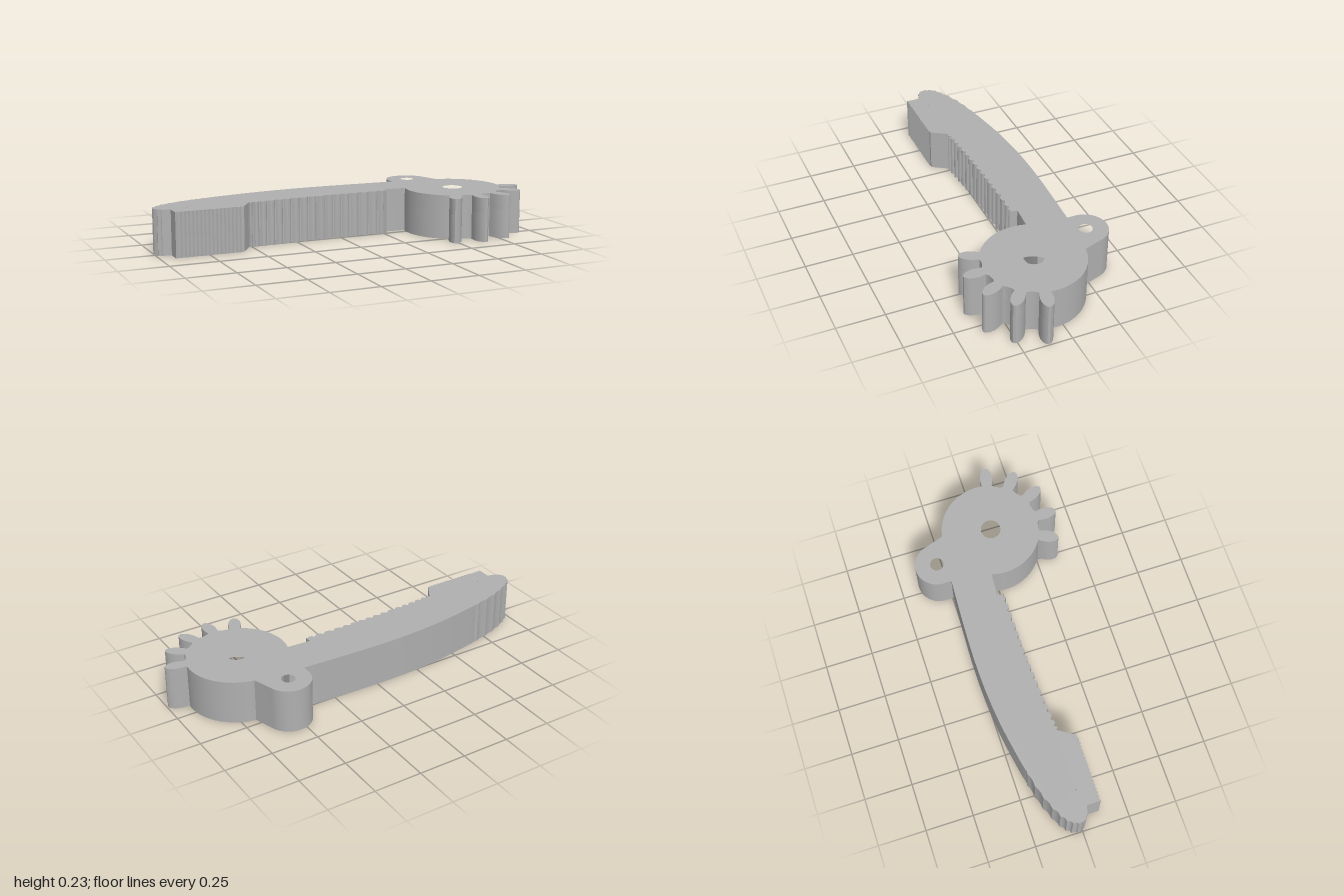
import * as THREE from 'three';
import { toCreasedNormals } from 'three/addons/utils/BufferGeometryUtils.js';

const HEIGHT = 0.23;
const BORE_DEPTH = 0.15;
const V = (x, z) => new THREE.Vector2(x, -z); // plan coordinates: x right, z toward the front

const grey = new THREE.MeshStandardMaterial({ color: 0xb0b0b0 });
grey.name = 'grey';

// Upright slab cut from a plan outline, with round holes [x, z, radius]
function slab(name, points, holes, y0, y1) {
  const shape = new THREE.Shape(points);
  for (const [x, z, r] of holes) {
    const hole = new THREE.Path();
    hole.absarc(x, -z, r, 0, Math.PI * 2, true);
    shape.holes.push(hole);
  }
  const geo = new THREE.ExtrudeGeometry(shape, { depth: y1 - y0, bevelEnabled: false, curveSegments: 24 });
  geo.rotateX(-Math.PI / 2);
  geo.translate(0, y0, 0);
  const mesh = new THREE.Mesh(toCreasedNormals(geo, 0.45), grey);
  mesh.name = name;
  return mesh;
}

// Points on a smooth curve through [x, z] pairs
function curve(pairs, n) {
  return new THREE.SplineCurve(pairs.map(([x, z]) => new THREE.Vector2(x, z))).getPoints(n);
}

// Round hub with five gear teeth
function hubOutline() {
  const cx = 0.64, cz = 0.04, R = 0.26, pitch = Math.PI / 7;
  const polar = (r, a) => V(cx + r * Math.cos(a), cz + r * Math.sin(a));
  const flank = [[0.258, 0.027], [0.28, 0.031], [0.3, 0.033], [0.32, 0.031], [0.34, 0.025], [0.354, 0.016], [0.362, 0.006]];
  const profile = [...flank.map(([r, w]) => [r, -w]), ...flank.slice().reverse()];
  const first = Math.PI / 2 - 3 * pitch;
  const pts = [];
  for (let i = 0; i < 5; i++) {
    const a = first + i * pitch, c = Math.cos(a), s = Math.sin(a);
    for (const [r, w] of profile) pts.push(V(cx + r * c - w * s, cz + r * s + w * c));
    if (i < 4) for (const t of [0.37, 0.5, 0.63]) pts.push(polar(0.252, a + t * pitch));
  }
  const start = first + 4 * pitch + 0.16, end = first + Math.PI * 2 - 0.16;
  for (let i = 0; i <= 56; i++) pts.push(polar(R, start + (end - start) * i / 56));
  return pts;
}

// Rounded ear beside the hub
function earOutline() {
  const pts = [V(0.42, -0.2), V(0.42, -0.29)];
  for (let i = 1; i <= 24; i++) {
    const a = Math.PI + (Math.PI * 0.93) * i / 24;
    pts.push(V(0.535 + 0.115 * Math.cos(a), -0.29 + 0.115 * Math.sin(a)));
  }
  pts.push(V(0.682, -0.212), V(0.66, -0.14), V(0.5, -0.14));
  return pts;
}

// Curved arm with a serrated nose, a gripping pad and a toothed inner edge
function armOutline() {
  const pts = [V(0.5, -0.05), V(0.5, -0.239)];
  for (const p of curve([[0.42, -0.245], [0.2, -0.256], [0, -0.262], [-0.2, -0.258], [-0.4, -0.24], [-0.6, -0.207], [-0.66, -0.194]], 40)) {
    pts.push(V(p.x, p.y));
  }
  // serrated nose
  const nose = curve([[-0.67, -0.19], [-0.8, -0.157], [-0.92, -0.107], [-0.98, -0.06], [-0.996, -0.01], [-0.97, 0.022], [-0.925, 0.036]], 36);
  nose.forEach((p, i) => {
    const k = i % 3 === 1 && i < 33 ? 0.005 : 0;
    pts.push(V(Math.max(-1, p.x - k), p.y - (p.y < 0 ? k : 0)));
  });
  // pad with a finely ribbed face
  pts.push(V(-0.925, 0.11));
  for (let i = 1; i < 34; i++) pts.push(V(-0.92 + 0.345 * i / 34, i % 2 ? 0.104 : 0.11));
  pts.push(V(-0.57, 0.104), V(-0.524, 0.03));
  // rounded teeth along the inner edge
  const edge = new THREE.SplineCurve([[-0.515, 0.014], [-0.35, 0], [-0.15, -0.011], [0.05, -0.016], [0.262, -0.017]]
    .map(([x, z]) => new THREE.Vector2(x, z)));
  const count = 17;
  for (let i = 0; i < count; i++) {
    for (const [t, d] of [[0, 0], [0.22, 0.01], [0.45, 0.014], [0.68, 0.01], [0.85, 0]]) {
      const p = edge.getPoint((i + t) / count);
      pts.push(V(p.x, p.y + d));
    }
  }
  pts.push(V(0.268, -0.005), V(0.268, -0.042), V(0.39, -0.034));
  return pts;
}

export function createModel() {
  const model = new THREE.Group();
  model.name = 'gearedGripperFinger';

  // Hub: wide bore below, narrow pivot hole above
  const hub = new THREE.Group();
  hub.name = 'hub';
  const outline = hubOutline();
  hub.add(slab('boredHubBase', outline, [[0.64, 0.04, 0.107]], 0, BORE_DEPTH));
  hub.add(slab('hubTop', outline, [[0.64, 0.04, 0.052]], BORE_DEPTH, HEIGHT));

  model.add(
    hub,
    slab('pivotEar', earOutline(), [[0.535, -0.29, 0.035]], 0, HEIGHT),
    slab('arm', armOutline(), [[-0.835, 0.012, 0.004]], 0, HEIGHT),
  );
  return model;
}
